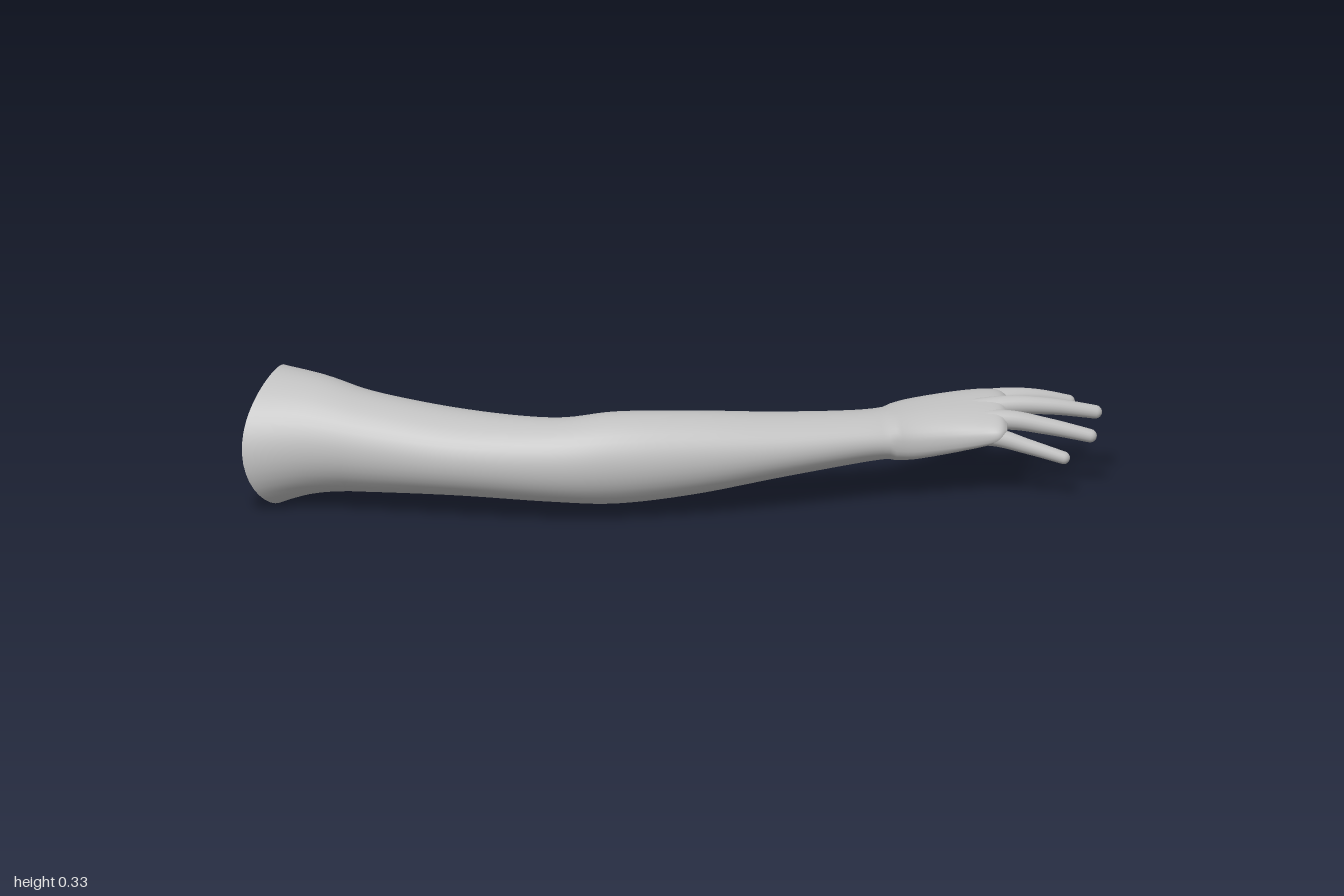
import * as THREE from 'three';

const SIDES = 40;

// Uniform Catmull-Rom interpolation of every column of a table of rows
function sampleRows(rows, steps) {
  const out = [], last = rows.length - 1;
  for (let s = 0; s <= last * steps; s++) {
    const i = Math.min(Math.floor(s / steps), last - 1), t = s / steps - i;
    const p = k => rows[Math.max(0, Math.min(last, k))];
    out.push(rows[i].map((_, c) => {
      const a = p(i - 1)[c], b = p(i)[c], d = p(i + 1)[c], e = p(i + 2)[c];
      return b + 0.5 * t * (d - a + t * (2 * a - 5 * b + 4 * d - e + t * (3 * (b - d) + e - a)));
    }));
  }
  return out;
}

// Skin over closed rings of points, with the far end closed
function skin(rings) {
  const pos = [], idx = [], n = rings[0].length;
  rings.forEach(r => r.forEach(v => pos.push(v.x, v.y, v.z)));
  for (let i = 0; i < rings.length - 1; i++) {
    for (let j = 0; j < n; j++) {
      const a = i * n + j, c = i * n + (j + 1) % n;
      idx.push(a, a + n, c, a + n, c + n, c);
    }
  }
  const end = rings[rings.length - 1];
  const mid = end.reduce((s, v) => s.add(v), new THREE.Vector3()).divideScalar(n);
  pos.push(mid.x, mid.y, mid.z);
  const base = (rings.length - 1) * n;
  for (let j = 0; j < n; j++) idx.push(base + j, rings.length * n, base + (j + 1) % n);
  const g = new THREE.BufferGeometry();
  g.setAttribute('position', new THREE.Float32BufferAttribute(pos, 3));
  g.setIndex(idx);
  g.computeVertexNormals();
  return g;
}

// Arm and palm sections: front x, z, back x, z, top y, bottom y, tilt, palm hollow
const ARM = [
  [-1.0, 0.465, -0.965, 0.12, 0.335, 0.005, 0, 0],
  [-0.86, 0.44, -0.85, 0.14, 0.322, 0.035, 0, 0],
  [-0.70, 0.42, -0.70, 0.157, 0.29, 0.045, 0, 0],
  [-0.48, 0.398, -0.49, 0.154, 0.262, 0.05, 0, 0],
  [-0.24, 0.365, -0.275, 0.168, 0.258, 0.048, 0, 0],
  [-0.07, 0.315, -0.14, 0.115, 0.27, 0.04, 0, 0],
  [0.12, 0.23, 0.03, 0.043, 0.262, 0.055, 0, 0],
  [0.31, 0.13, 0.23, -0.05, 0.243, 0.085, 0, 0],
  [0.50, 0.015, 0.43, -0.15, 0.23, 0.108, 0, 0],
  [0.59, -0.04, 0.52, -0.235, 0.23, 0.105, -0.01, 0.01],
  [0.67, -0.08, 0.61, -0.295, 0.232, 0.115, -0.015, 0.025],
  [0.75, -0.11, 0.69, -0.327, 0.23, 0.14, -0.02, 0.025],
  [0.79, -0.125, 0.735, -0.327, 0.222, 0.162, -0.02, 0.005],
  [0.80, -0.15, 0.765, -0.305, 0.203, 0.185, -0.015, 0]
];

function armGeometry() {
  const rings = sampleRows(ARM, 6).map(([xf, zf, xb, zb, top, low, tilt, hollow], k) => {
    const rim = Math.max(0, 1 - k / 10);
    const p = k > 50 ? 0.82 : 1;   // squarer section in the palm
    return Array.from({ length: SIDES }, (_, j) => {
      const a = j / SIDES * Math.PI * 2, c0 = Math.cos(a), s0 = Math.sin(a);
      const c = Math.sign(c0) * Math.abs(c0) ** p, s = Math.sign(s0) * Math.abs(s0) ** p;
      const y = (top + low) / 2 + s * (top - low) / 2 + tilt * c
        + (s < 0 ? hollow * -s * (1 - c * c) : 0);
      // the open shoulder rim is curved and leans slightly
      return new THREE.Vector3(
        (xf + xb) / 2 + c * (xf - xb) / 2 + rim * (0.037 * s * s - 0.015 * s), y,
        (zf + zb) / 2 + c * (zf - zb) / 2 - rim * 0.022 * s);
    });
  });
  return skin(rings);
}

// Tapered digit with a round tip; rows are x, y, z, radius
function digitGeometry(rows) {
  const pts = sampleRows(rows, 8), n = pts.length;
  const at = i => new THREE.Vector3(...pts[Math.max(0, Math.min(n - 1, i))].slice(0, 3));
  const up = new THREE.Vector3(0, 1, 0), rings = [];
  const addRing = (centre, dir, r) => {
    const side = dir.clone().cross(up).normalize(), v = side.clone().cross(dir);
    rings.push(Array.from({ length: 18 }, (_, j) => {
      const a = j / 18 * Math.PI * 2;
      return centre.clone().addScaledVector(side, r * Math.cos(a)).addScaledVector(v, r * Math.sin(a));
    }));
  };
  for (let i = 0; i < n; i++) addRing(at(i), at(i + 1).sub(at(i - 1)).normalize(), pts[i][3]);
  const dir = at(n - 1).sub(at(n - 2)).normalize(), r = pts[n - 1][3];
  for (let k = 1; k <= 5; k++) {
    const a = k / 5.2 * Math.PI / 2;
    addRing(at(n - 1).addScaledVector(dir, r * Math.sin(a)), dir, r * Math.cos(a));
  }
  return skin(rings);
}

const DIGITS = {
  thumb: [[0.52, 0.16, -0.13, 0.045], [0.558, 0.135, -0.24, 0.05], [0.582, 0.115, -0.345, 0.033],
    [0.61, 0.108, -0.405, 0.027], [0.637, 0.096, -0.449, 0.02]],
  indexFinger: [[0.63, 0.195, -0.262, 0.03], [0.73, 0.203, -0.322, 0.027], [0.81, 0.198, -0.372, 0.021],
    [0.885, 0.176, -0.422, 0.017]],
  middleFinger: [[0.65, 0.2, -0.195, 0.03], [0.77, 0.21, -0.258, 0.025], [0.87, 0.2, -0.308, 0.021],
    [0.97, 0.176, -0.362, 0.017]],
  ringFinger: [[0.66, 0.187, -0.145, 0.03], [0.78, 0.193, -0.198, 0.025], [0.88, 0.172, -0.236, 0.021],
    [0.98, 0.144, -0.272, 0.017]],
  littleFinger: [[0.66, 0.168, -0.11, 0.028], [0.76, 0.167, -0.14, 0.024], [0.85, 0.14, -0.163, 0.019],
    [0.935, 0.111, -0.185, 0.016]]
};

export function createModel() {
  const group = new THREE.Group();
  const skinGrey = new THREE.MeshStandardMaterial({ color: 0xc0c0c0, side: THREE.DoubleSide });
  skinGrey.name = 'skinGrey';
  const add = (name, geometry) => {
    const mesh = new THREE.Mesh(geometry, skinGrey);
    mesh.name = name;
    group.add(mesh);
  };
  add('armAndPalm', armGeometry());
  for (const [name, rows] of Object.entries(DIGITS)) add(name, digitGeometry(rows));
  return group;
}
